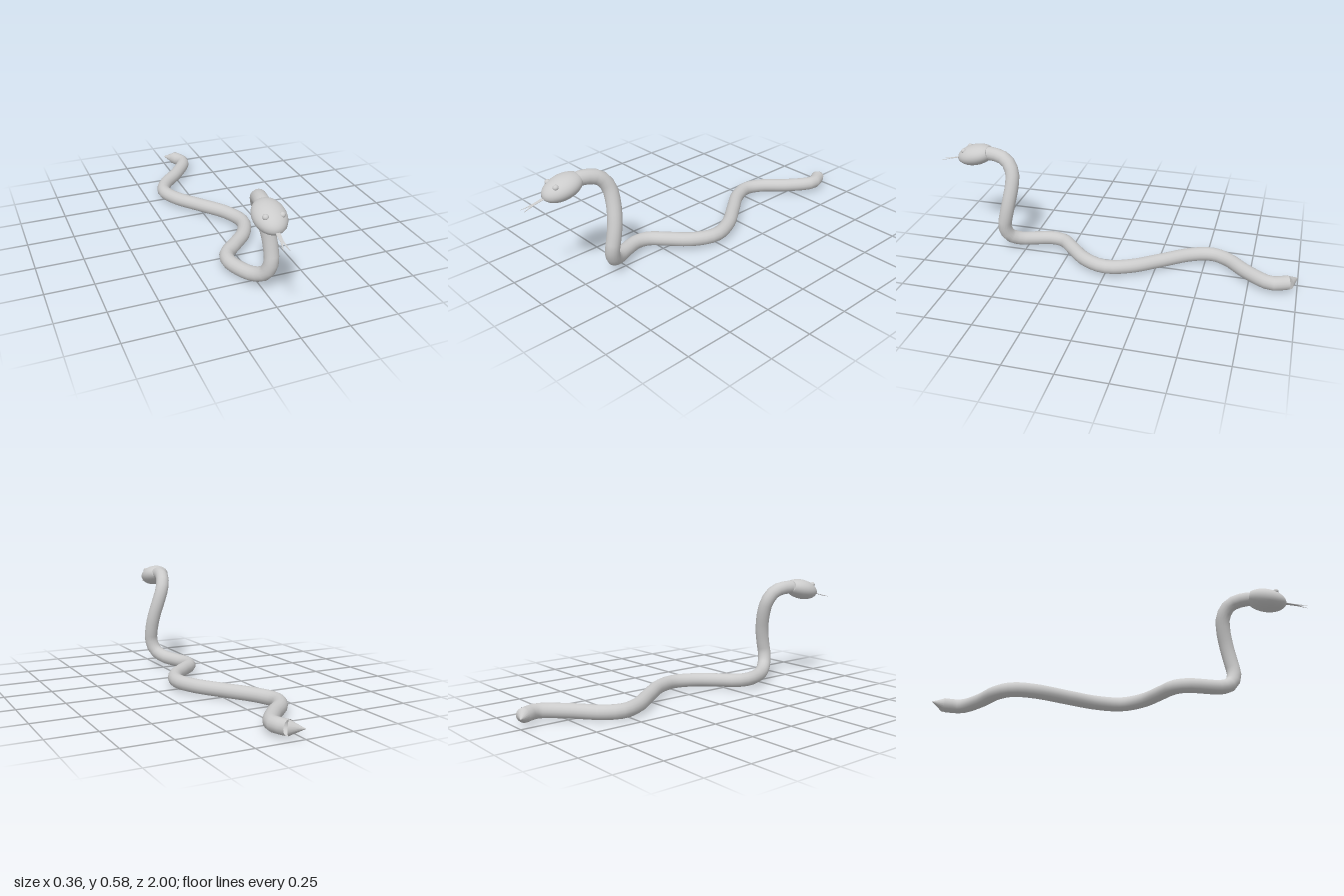
import * as THREE from 'three';

const grey = new THREE.MeshStandardMaterial({ color: 0xcccccc });
const thin = new THREE.MeshStandardMaterial({ color: 0xcccccc, side: THREE.DoubleSide });
const RADIUS = 0.0375;

// Centre line from tail to neck
const SPINE = [
  [0.058, 0.05, -0.952], [0.087, 0.05, -0.87], [0.0, 0.045, -0.735],
  [-0.11, 0.041, -0.62], [-0.146, 0.04, -0.53], [-0.11, 0.041, -0.42],
  [0.0, 0.044, -0.27], [0.1, 0.047, -0.13], [0.14, 0.048, 0.0],
  [0.095, 0.049, 0.12], [0.0, 0.05, 0.22], [-0.07, 0.05, 0.29], [-0.086, 0.05, 0.36],
  [-0.06, 0.051, 0.45], [-0.02, 0.06, 0.53], [0.015, 0.092, 0.583],
  [0.033, 0.15, 0.602], [0.036, 0.21, 0.592], [0.027, 0.3, 0.573],
  [0.0, 0.4, 0.558], [-0.022, 0.465, 0.562], [-0.043, 0.52, 0.6],
  [-0.062, 0.54, 0.68], [-0.071, 0.53, 0.77],
].map((p) => new THREE.Vector3(...p));

function add(parent, name, geometry, material = grey) {
  const mesh = new THREE.Mesh(geometry, material);
  mesh.name = name;
  parent.add(mesh);
  return mesh;
}

function createHead() {
  const head = new THREE.Group();
  head.name = 'head';
  const size = [0.078, 0.056, 0.107];

  // Skull: an ellipsoid cut flat at the back, where it meets the neck
  const profile = [new THREE.Vector2(0, -0.8), new THREE.Vector2(0.58, -0.8)];
  const start = -Math.asin(0.8);
  for (let i = 0; i <= 20; i++) {
    const a = start + (Math.PI / 2 - start) * (i / 20);
    profile.push(new THREE.Vector2(i === 20 ? 0 : Math.cos(a), Math.sin(a)));
  }
  const skull = new THREE.LatheGeometry(profile, 36);
  skull.rotateX(Math.PI / 2).scale(...size);
  add(head, 'skull', skull);

  // Mouth: a narrow band wrapped around the nose
  const mouth = new THREE.SphereGeometry(1.015, 16, 2, Math.PI / 2 - 0.74, 1.48, 1.47, 0.2);
  add(head, 'mouth', mouth.scale(...size), thin);

  // Eyes
  for (const side of [-1, 1]) {
    const eye = add(head, side > 0 ? 'leftEye' : 'rightEye', new THREE.SphereGeometry(0.0145, 20, 14));
    eye.scale.y = 0.9;
    eye.position.set(side * 0.038, 0.041, 0.045);
  }

  // Forked tongue, a flat shape lying forward out of the mouth
  const outline = [[-0.011, 0.09], [0.011, 0.09], [0.008, 0.158], [0.015, 0.219],
    [0, 0.168], [-0.015, 0.219], [-0.008, 0.158]];
  const tongue = new THREE.ExtrudeGeometry(
    new THREE.Shape(outline.map((p) => new THREE.Vector2(...p))),
    { depth: 0.002, bevelEnabled: false });
  add(head, 'tongue', tongue.rotateX(Math.PI / 2));

  head.rotation.set(0.26, -0.07, 0, 'YXZ');
  head.position.set(-0.073, 0.522, 0.788);
  return head;
}

export function createModel() {
  const model = new THREE.Group();
  model.name = 'snake';

  // Body
  const spine = new THREE.CatmullRomCurve3(SPINE);
  add(model, 'body', new THREE.TubeGeometry(spine, 64, RADIUS, 16), thin);

  // Pointed tail
  const tip = new THREE.Vector3(0, 0.05, -1);
  const base = SPINE[0];
  const along = tip.clone().sub(base);
  const tail = add(model, 'tailTip', new THREE.ConeGeometry(RADIUS, along.length(), 16));
  tail.position.copy(base).addScaledVector(along, 0.5);
  tail.quaternion.setFromUnitVectors(new THREE.Vector3(0, 1, 0), along.normalize());

  model.add(createHead());
  return model;
}
